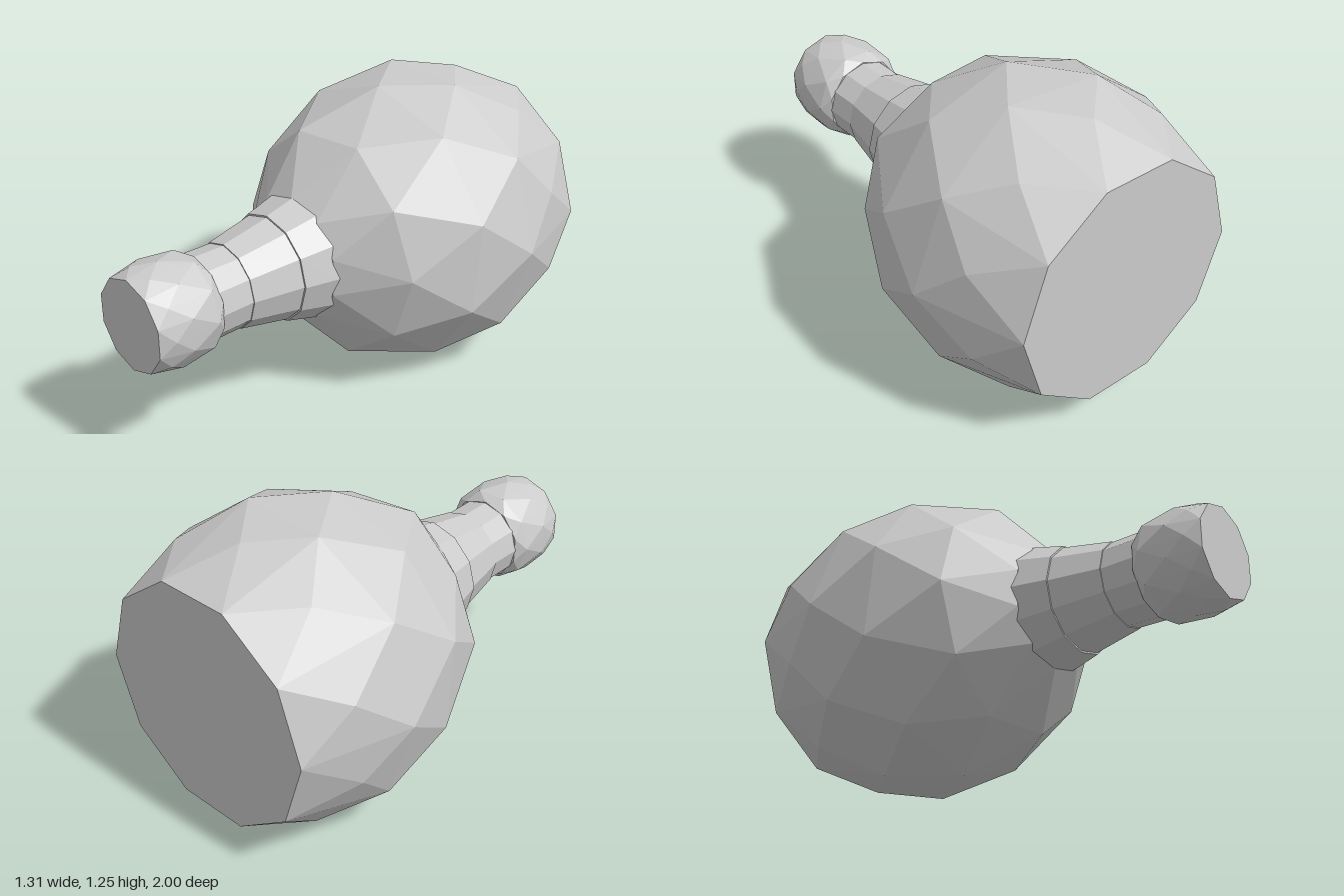
import * as THREE from 'three';
import { ConvexGeometry } from 'three/addons/geometries/ConvexGeometry.js';

const AXIS_Y = 0.655;

// Faceted solid around the z axis: each ring is [z, radius]; alternate rings are turned half a step.
function facetedSolid(name, rings, sides, material, wobble = 0) {
  const points = [];
  rings.forEach(([z, r], i) => {
    const inner = i > 0 && i < rings.length - 1;
    for (let k = 0; k < sides; k++) {
      const a = Math.PI / 2 + ((k + (i % 2) / 2) / sides) * Math.PI * 2;
      const shift = inner ? wobble * Math.sin(k * 2.4 + i * 1.7) : 0;
      points.push(new THREE.Vector3(Math.cos(a) * r, Math.sin(a) * r, z + shift));
    }
  });
  const mesh = new THREE.Mesh(new ConvexGeometry(points), material);
  mesh.name = name;
  mesh.position.y = AXIS_Y;
  return mesh;
}

// Tapered collar from z0 to z1
function collar(name, z0, r0, z1, r1, material) {
  const geometry = new THREE.CylinderGeometry(r1, r0, z1 - z0, 12);
  geometry.rotateX(Math.PI / 2);
  const mesh = new THREE.Mesh(geometry, material);
  mesh.name = name;
  mesh.position.set(0, AXIS_Y, (z0 + z1) / 2);
  return mesh;
}

export function createModel() {
  const model = new THREE.Group();
  model.name = 'bulbOnNeck';
  const grey = new THREE.MeshStandardMaterial({ color: 0xcccccc, flatShading: true });

  // Large rounded body with a flat back
  model.add(facetedSolid('body', [
    [0.2, 0.26], [0.0, 0.49], [-0.28, 0.625], [-0.55, 0.655], [-0.77, 0.605], [-1.0, 0.515],
  ].map(([z, r], i) => [z, r, i]), 10, grey, 0.02));

  // Stepped neck
  model.add(collar('neckBase', 0.18, 0.27, 0.33, 0.232, grey));
  model.add(collar('neckMiddle', 0.33, 0.225, 0.55, 0.182, grey));
  model.add(collar('neckFront', 0.55, 0.178, 0.7, 0.18, grey));

  // Small rounded knob with a flat front
  model.add(facetedSolid('knob', [
    [0.695, 0.185], [0.74, 0.213], [0.86, 0.223], [0.94, 0.213], [1.0, 0.195],
  ], 10, grey));

  return model;
}
